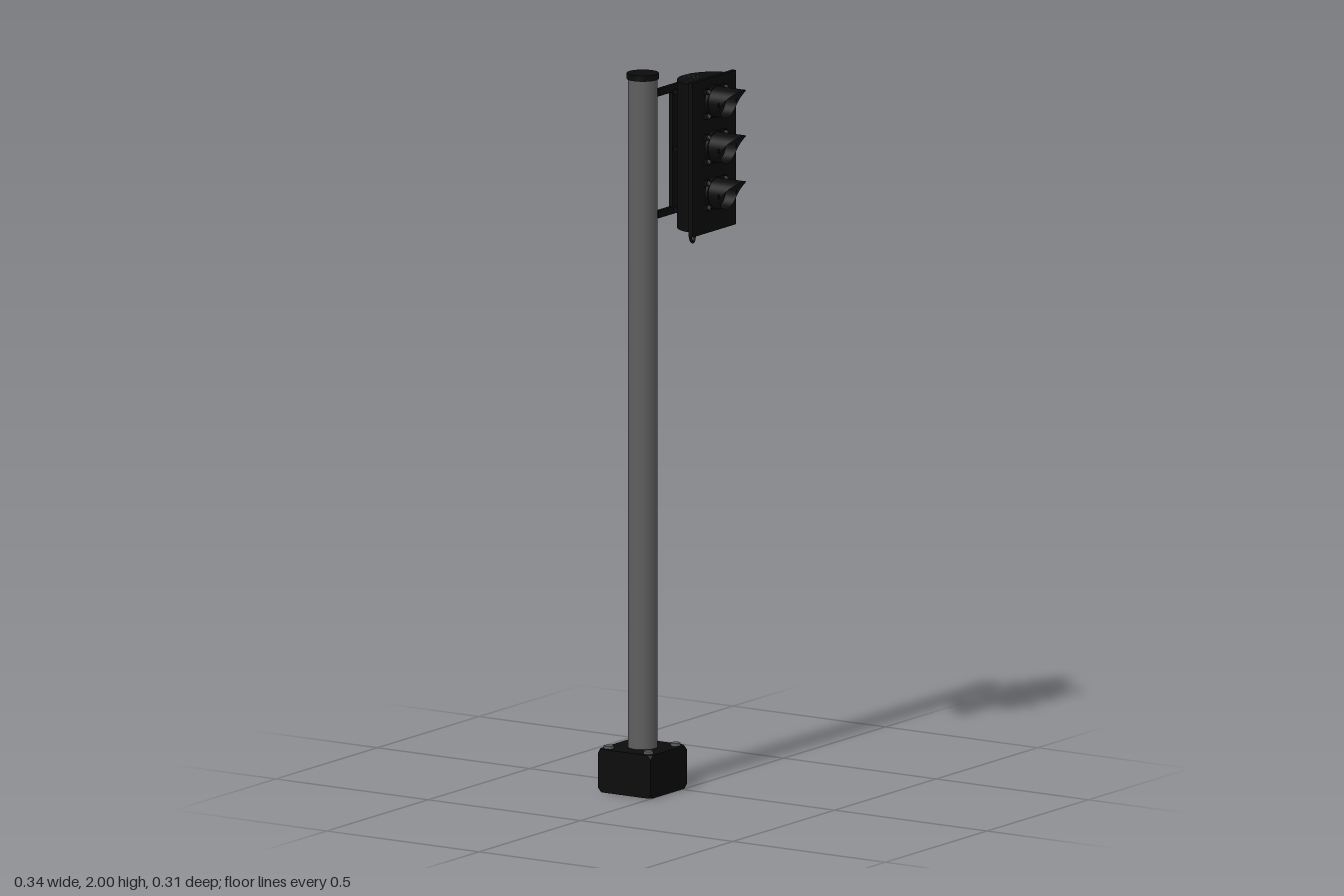
import * as THREE from 'three';
import { ConvexGeometry } from 'three/addons/geometries/ConvexGeometry.js';

const black = new THREE.MeshStandardMaterial({ color: 0x0b0b0b, side: THREE.DoubleSide });
black.name = 'black housing';
const steel = new THREE.MeshStandardMaterial({ color: 0x5e5e5e });
steel.name = 'grey steel';
const lensMat = new THREE.MeshStandardMaterial({ color: 0x101010 });
lensMat.name = 'dark lens';

const POLE = { x: -0.0865, z: 0.064 };
const HEAD_Z = -0.0485;

export function createModel() {
  const root = new THREE.Group();
  root.name = 'trafficSignal';
  const add = (name, geo, mat, x = 0, y = 0, z = 0, parent = root) => {
    const m = new THREE.Mesh(geo, mat);
    m.name = name;
    m.position.set(x, y, z);
    parent.add(m);
    return m;
  };
  const box = (w, h, d) => new THREE.BoxGeometry(w, h, d);
  // cylinder lying along x
  const discX = (r, len, n) => new THREE.CylinderGeometry(r, r, len, n).rotateZ(-Math.PI / 2);

  // Base block with its eight corners cut off
  const w = 0.0865, h = 0.06, d = 0.089, c = 0.012;
  const pts = [];
  for (const sx of [-1, 1]) for (const sy of [-1, 1]) for (const sz of [-1, 1]) {
    pts.push(new THREE.Vector3(sx * (w - c), sy * h, sz * d));
    pts.push(new THREE.Vector3(sx * w, sy * (h - c), sz * d));
    pts.push(new THREE.Vector3(sx * w, sy * h, sz * (d - c)));
  }
  add('base', new ConvexGeometry(pts), black, POLE.x, h, 0.066);

  // Hex bolts on the base
  for (const x of [-0.152, -0.022]) for (const z of [0, 0.133])
    add('baseBolt', new THREE.CylinderGeometry(0.014, 0.014, 0.012, 6), steel, x, 0.122, z);

  // Pole and cap
  add('pole', new THREE.CylinderGeometry(0.04, 0.04, 1.875, 40), steel, POLE.x, 1.0525, POLE.z);
  add('poleCap', new THREE.CylinderGeometry(0.044, 0.044, 0.016, 40), black, POLE.x, 1.992, POLE.z);

  // Mounting rail, arms to the pole and brackets to the head
  add('mountRail', box(0.012, 0.36, 0.042), black, -0.054, 1.775, -0.046);
  for (const y of [1.945, 1.605])
    add('mountArm', box(0.012, 0.02, 0.11), black, -0.054, y, -0.011);
  for (const y of [1.935, 1.775, 1.605])
    add('mountBracket', box(0.03, 0.014, 0.028), black, -0.036, y, -0.044);

  // Signal head: half-elliptical housing
  const D = new THREE.Shape();
  D.absellipse(0.061, 0, 0.089, 0.099, Math.PI / 2, Math.PI * 1.5, false);
  D.closePath();
  const shell = new THREE.ExtrudeGeometry(D, { depth: 0.412, bevelEnabled: false, curveSegments: 32 });
  shell.rotateX(-Math.PI / 2);
  add('housing', shell, black, 0, 1.569, HEAD_Z);
  add('backplate', box(0.013, 0.43, 0.215), black, 0.0665, 1.773, HEAD_Z);
  for (const x of [-0.016, 0, 0.016]) for (const z of [-0.053, -0.035])
    add('housingScrew', new THREE.CylinderGeometry(0.003, 0.003, 0.004, 8), steel, x, 1.982, z);

  // Visor: tube whose free edge reaches furthest at the top
  const visorGeometry = () => {
    const r = 0.042, n = 40, m = 8;
    const g = new THREE.CylinderGeometry(r, r, 1, n, m, true);
    const p = g.attributes.position;
    for (let i = 0; i < p.count; i++) {
      const u = p.getY(i) + 0.5;
      const up = p.getX(i), side = p.getZ(i);
      const t = Math.max(0, (1 + up / r) / 2);
      p.setXYZ(i, u * (0.042 + 0.057 * Math.pow(t, 2.5)), up, -side);
    }
    // keep the outward winding after swapping axes
    g.computeVertexNormals();
    return g;
  };

  // Three lamps
  for (const y of [1.92, 1.793, 1.665]) {
    const lamp = new THREE.Group();
    lamp.name = 'lamp';
    lamp.position.set(0.073, y, HEAD_Z);
    root.add(lamp);
    add('lampRing', discX(0.046, 0.008, 40), black, 0.004, 0, 0, lamp);
    const lens = new THREE.SphereGeometry(0.04, 32, 8, 0, Math.PI * 2, 0, Math.PI / 2);
    lens.scale(1, 0.3, 1).rotateZ(-Math.PI / 2);
    add('lens', lens, lensMat, 0.008, 0, 0, lamp);
    add('visor', visorGeometry(), black, 0, 0, 0, lamp);
    for (const s of [-1, 1]) {
      add('visorTab', box(0.003, 0.012, 0.008), black, 0.0435, 0, s * 0.044, lamp);
      for (const v of [-1, 1]) {
        add('visorLug', box(0.009, 0.016, 0.016), black, 0.0045, v * 0.034, s * 0.042, lamp);
        add('visorScrew', discX(0.006, 0.004, 8), steel, 0.011, v * 0.034, s * 0.042, lamp);
      }
    }
  }

  // Cable loop under the head
  const loop = new THREE.CatmullRomCurve3([
    [0.045, 1.572, 0.006], [0.045, 1.55, 0.007], [0.046, 1.535, 0.015],
    [0.046, 1.54, 0.025], [0.045, 1.572, 0.03],
  ].map((q) => new THREE.Vector3(...q)));
  add('cable', new THREE.TubeGeometry(loop, 20, 0.004, 8), black);

  return root;
}
